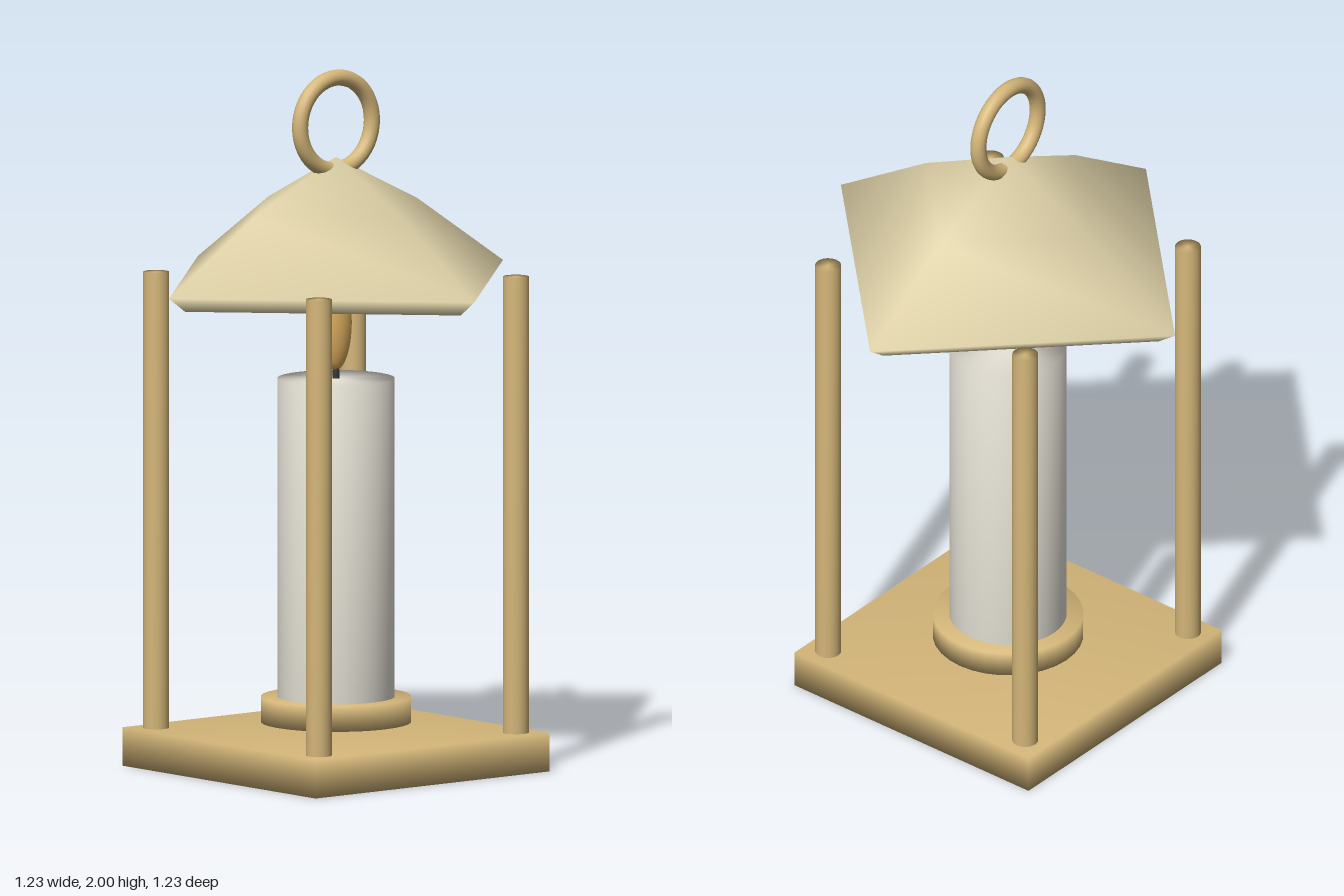
import * as THREE from 'three';
import { mergeVertices } from 'three/addons/utils/BufferGeometryUtils.js';

const mat = (color) => new THREE.MeshStandardMaterial({ color, side: THREE.DoubleSide });

// Weld corners so the normals are soft across every edge
function soften(geometry) {
  geometry.deleteAttribute('uv');
  geometry.deleteAttribute('normal');
  const g = mergeVertices(geometry, 1e-4);
  g.computeVertexNormals();
  return g;
}

export function createModel() {
  const lantern = new THREE.Group();
  lantern.name = 'lantern';
  const brass = mat(0xd4b679), roofTone = mat(0xdccfa6), wax = mat(0xece8dc);
  const flameTone = mat(0xe0b060), dark = mat(0x3a3a3a);

  const add = (name, geometry, material, x, y, z) => {
    const mesh = new THREE.Mesh(geometry, material);
    mesh.name = name;
    mesh.position.set(x, y, z);
    lantern.add(mesh);
    return mesh;
  };
  // Upright solid cylinder between two heights
  const rod = (name, r, y0, y1, material, x = 0, z = 0, sides = 32) =>
    add(name, soften(new THREE.CylinderGeometry(r, r, y1 - y0, sides)), material, x, (y0 + y1) / 2, z);

  // Base slab and corner posts
  add('base', soften(new THREE.BoxGeometry(0.86, 0.11, 0.86)), brass, 0, 0.055, 0);
  for (const x of [-0.362, 0.362])
    for (const z of [-0.362, 0.362]) rod('post', 0.037, 0.11, 1.415, brass, x, z, 24);

  // Candle on its dish
  rod('candleDish', 0.214, 0.135, 0.207, brass);
  rod('candle', 0.167, 0.2, 1.117, wax);
  rod('wick', 0.01, 1.11, 1.2, dark, 0, 0, 12);
  const flame = add('flame', new THREE.SphereGeometry(1, 24, 16), flameTone, 0, 1.275, 0);
  flame.scale.set(0.05, 0.135, 0.036);

  // Hollow four-sided roof with corners on the axes and a turned-in rim
  const profile = [[0.555, 1.357], [0.614, 1.4], [0.3, 1.605], [0, 1.75]]
    .map(([r, y]) => new THREE.Vector2(r, y));
  add('roof', soften(new THREE.LatheGeometry(profile, 4)), roofTone, 0, 0, 0);

  // Hanging ring
  add('ring', new THREE.TorusGeometry(0.132, 0.023, 16, 48), brass, 0, 1.845, 0);
  return lantern;
}
